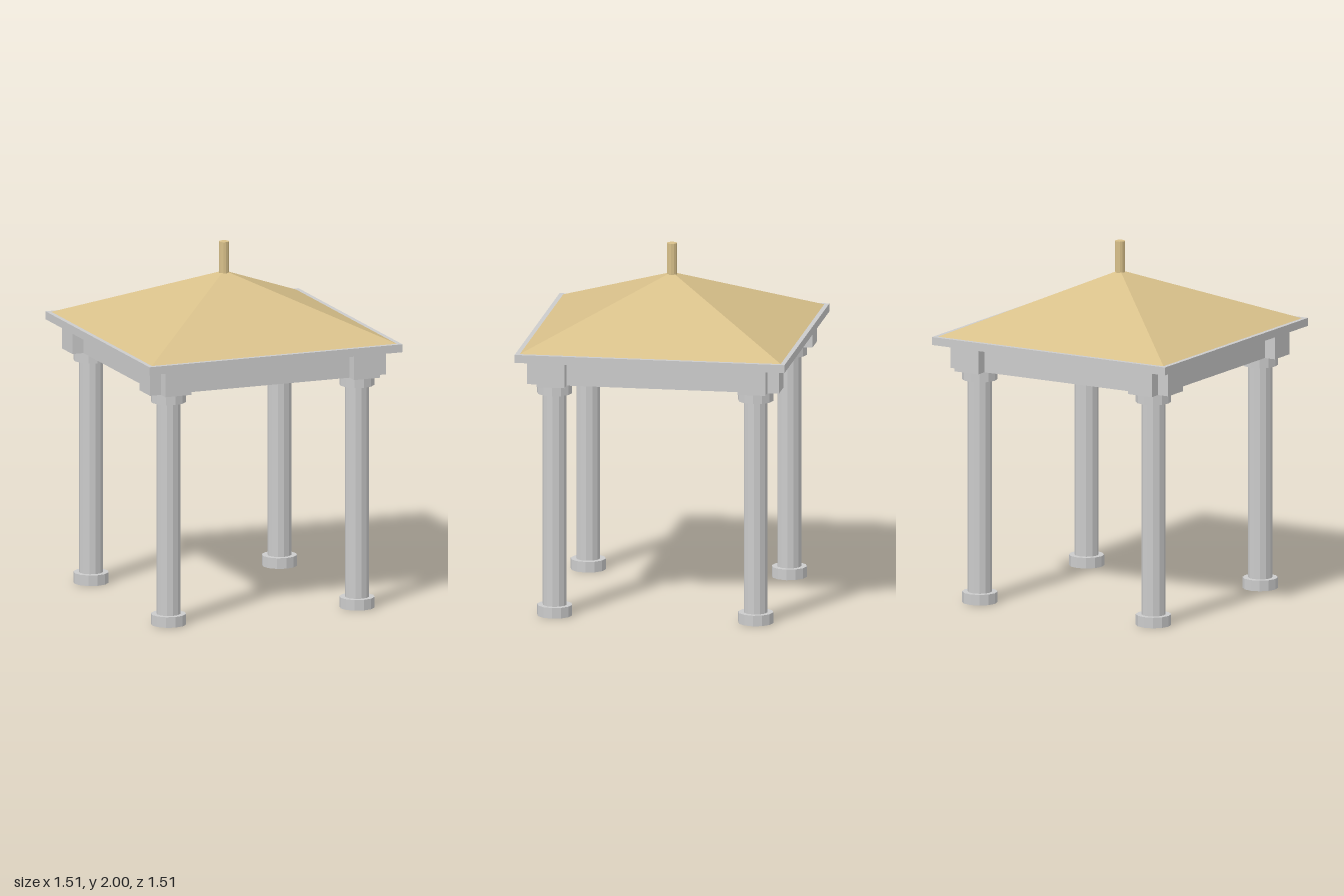
import * as THREE from 'three';

export function createModel() {
  const model = new THREE.Group();
  const stone = new THREE.MeshStandardMaterial({ color: 0xcccccc, flatShading: true });
  const gold = new THREE.MeshStandardMaterial({ color: 0xd8c08a, flatShading: true });
  const offset = 0.5625; // distance of columns and beams from the centre

  function add(parent, name, geometry, material, x, y, z) {
    const mesh = new THREE.Mesh(geometry, material);
    mesh.name = name;
    mesh.position.set(x, y, z);
    parent.add(mesh);
    return mesh;
  }

  // Four twelve-sided columns, each with a base and a capital
  const shaftGeo = new THREE.CylinderGeometry(0.067, 0.067, 1.2, 12);
  const collarGeo = new THREE.CylinderGeometry(0.098, 0.098, 0.06, 12);
  for (const sx of [-1, 1]) {
    for (const sz of [-1, 1]) {
      const column = new THREE.Group();
      column.name = 'column';
      column.position.set(sx * offset, 0, sz * offset);
      add(column, 'columnBase', collarGeo, stone, 0, 0.03, 0);
      add(column, 'columnShaft', shaftGeo, stone, 0, 0.66, 0);
      add(column, 'columnCapital', collarGeo, stone, 0, 1.29, 0);
      model.add(column);
    }
  }

  // Beams crossing over the columns, their ends sticking out at the corners
  for (const s of [-1, 1]) {
    add(model, 'crossBeam', new THREE.BoxGeometry(1.41, 0.145, 0.155), stone, 0, 1.3925, s * offset);
    add(model, 'sideBeam', new THREE.BoxGeometry(0.155, 0.145, 1.41), stone, s * offset, 1.3925, 0);
  }

  // Flat slab under the roof
  add(model, 'roofSlab', new THREE.BoxGeometry(1.51, 0.045, 1.51), stone, 0, 1.4875, 0);

  // Pyramid roof: a four-sided cone turned square to the axes
  const roofGeo = new THREE.ConeGeometry(0.73 * Math.SQRT2, 0.325, 4);
  roofGeo.rotateY(Math.PI / 4);
  add(model, 'roof', roofGeo, gold, 0, 1.6725, 0);

  // Finial
  add(model, 'finial', new THREE.CylinderGeometry(0.028, 0.028, 0.18, 12), gold, 0, 1.91, 0);

  return model;
}
